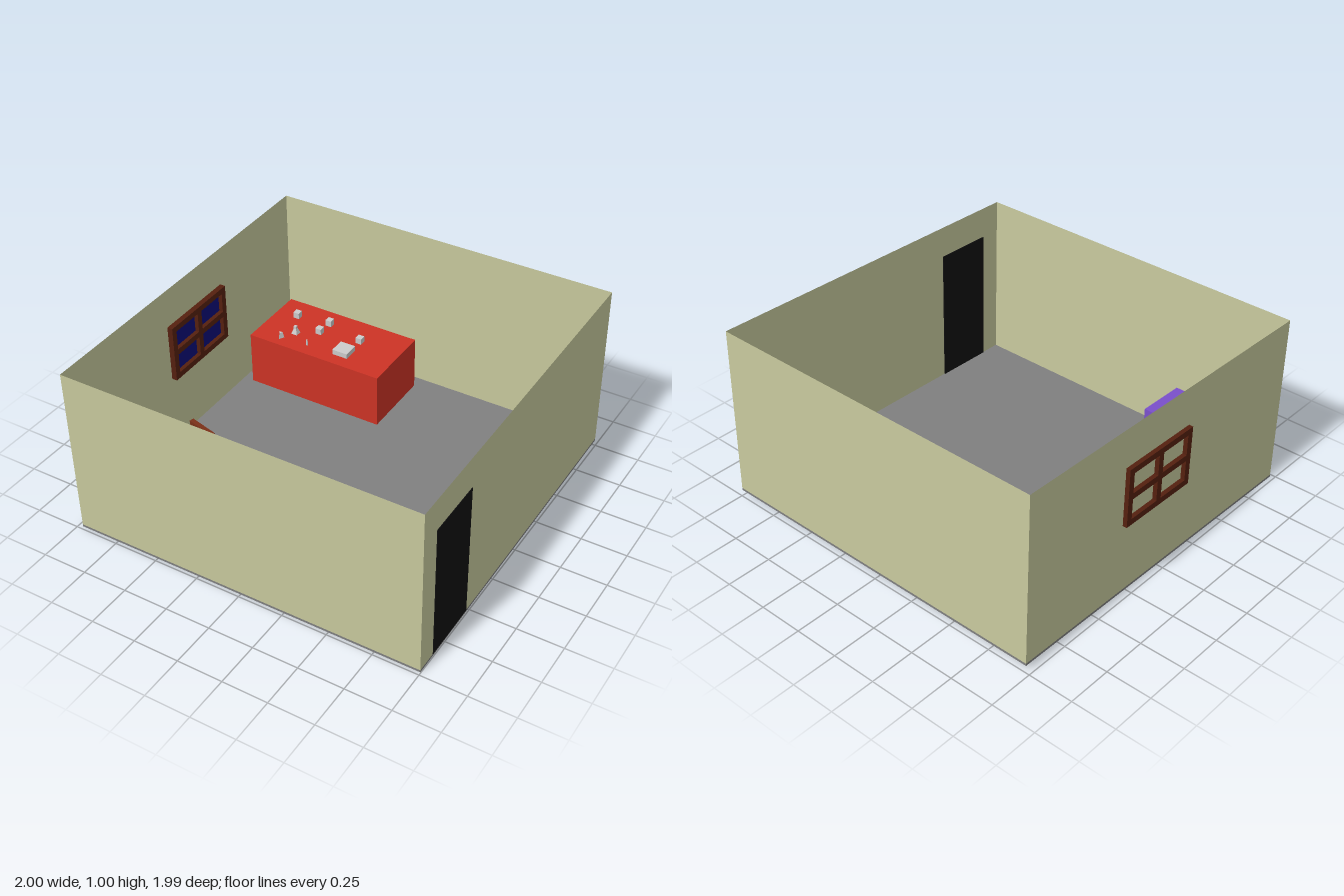
import * as THREE from 'three';

const mat = (color) => new THREE.MeshStandardMaterial({ color, flatShading: true, side: THREE.DoubleSide });
const WALL = mat(0xc7c99d), FLOOR = mat(0x808080), BLACK = mat(0x111111), FRAME = mat(0x55200f);
const GLASS = mat(0x0a0a78), RED = mat(0xcc3325), VIOLET = mat(0x7a4fcb), PURPLE = mat(0x9b4fc9);
const WOOD = mat(0x7a3018), GREY = mat(0xcccccc);

function add(parent, name, geometry, material, x, y, z) {
  const mesh = new THREE.Mesh(geometry, material);
  mesh.name = name;
  mesh.position.set(x, y, z);
  parent.add(mesh);
  return mesh;
}

// Box given by its x, y and z ranges
function box(parent, name, material, [x0, x1], [y0, y1], [z0, z1]) {
  return add(parent, name, new THREE.BoxGeometry(x1 - x0, y1 - y0, z1 - z0), material,
    (x0 + x1) / 2, (y0 + y1) / 2, (z0 + z1) / 2);
}

const X0 = -0.976, X1 = 0.997, D = 0.9885, H = 0.963, FLOOR_Y = 0.013;

function makeShell(room) {
  box(room, 'floor', FLOOR, [X0, X1], [0, FLOOR_Y], [-D, D]);
  const h = H - FLOOR_Y, y = FLOOR_Y + h / 2, cx = (X0 + X1) / 2;
  for (const s of [1, -1]) {
    add(room, s > 0 ? 'frontWall' : 'backWall', new THREE.PlaneGeometry(X1 - X0, h), WALL, cx, y, s * D);
    const side = add(room, s > 0 ? 'leftWall' : 'rightWall', new THREE.PlaneGeometry(2 * D, h), WALL, s > 0 ? X1 : X0, y, 0);
    side.rotation.y = Math.PI / 2;
  }
  box(room, 'door', BLACK, [X1 - 0.006, X1 + 0.003], [0.015, 0.785], [0.54, 0.87]);
}

function makeWindow(room) {
  const win = new THREE.Group();
  win.name = 'window';
  win.position.set(-0.9725, 0.58, -0.077);
  room.add(win);
  const w = 0.24, h = 0.165, b = 0.034, dx = [-0.0275, 0.0275];
  // Outer bars and the central cross
  for (const k of [-1, 0, 1]) {
    const z = k * (w - b / 2), y = k * (h - b / 2);
    box(win, 'windowUpright', FRAME, dx, [-h, h], [z - b / 2, z + b / 2]);
    box(win, 'windowRail', FRAME, dx, [y - b / 2, y + b / 2], [-w, w]);
  }
  // Panes on the inner side of the wall
  for (const sy of [-1, 1]) for (const sz of [-1, 1]) {
    const pane = add(win, 'windowPane', new THREE.PlaneGeometry(w, h), GLASS, 0.004, sy * h / 2, sz * w / 2);
    pane.rotation.y = Math.PI / 2;
  }
}

function makeChair(room) {
  const chair = new THREE.Group();
  chair.name = 'chair';
  chair.position.set(-0.62, FLOOR_Y, 0.497);
  chair.rotation.y = -0.26;
  room.add(chair);
  add(chair, 'seat', new THREE.CylinderGeometry(0.103, 0.103, 0.03, 8), WOOD, 0, 0.2, 0);
  for (const sx of [-1, 1]) for (const sz of [-1, 1])
    add(chair, 'chairLeg', new THREE.BoxGeometry(0.025, 0.19, 0.025), WOOD, sx * 0.08, 0.095, sz * 0.08);
  add(chair, 'backrest', new THREE.BoxGeometry(0.17, 0.2, 0.025), WOOD, 0, 0.3, -0.08);
}

function makeTableItems(room, top) {
  const items = new THREE.Group();
  items.name = 'tableItems';
  items.position.y = top;
  room.add(items);
  for (const [x, z] of [[-0.785, -0.778], [-0.585, -0.802], [-0.592, -0.705], [-0.348, -0.738]])
    add(items, 'smallBlock', new THREE.BoxGeometry(0.036, 0.036, 0.036), GREY, x, 0.018, z);
  add(items, 'flatBlock', new THREE.BoxGeometry(0.092, 0.03, 0.092), GREY, -0.376, 0.015, -0.61);
  // Tapered piece with a knob, a wedge and a thin peg
  add(items, 'taperedPiece', new THREE.CylinderGeometry(0.01, 0.027, 0.035, 4), GREY, -0.708, 0.0175, -0.635).rotation.y = Math.PI / 4;
  add(items, 'taperedPieceKnob', new THREE.BoxGeometry(0.016, 0.016, 0.016), GREY, -0.708, 0.04, -0.635);
  add(items, 'wedge', new THREE.CylinderGeometry(0.012, 0.02, 0.035, 3), GREY, -0.757, 0.0175, -0.555);
  add(items, 'peg', new THREE.CylinderGeometry(0.004, 0.006, 0.035, 6), GREY, -0.59, 0.0175, -0.567);
}

export function createModel() {
  const model = new THREE.Group();
  model.name = 'room';
  // The whole room leans slightly forward
  const room = new THREE.Group();
  room.name = 'tiltedRoom';
  room.rotation.x = 0.0188;
  room.position.set(0, 0.0186, -0.0065);
  model.add(room);

  makeShell(room);
  makeWindow(room);
  box(room, 'redTable', RED, [-0.918, -0.093], [FLOOR_Y, 0.33], [-0.915, -0.49]);
  makeTableItems(room, 0.33);
  box(room, 'desk', VIOLET, [-0.923, -0.375], [FLOOR_Y, 0.33], [0.645, 0.93]);
  makeChair(room);
  // Cabinet sunk through the floor, with an inset top
  box(room, 'cabinet', PURPLE, [0.648, 0.924], [-0.002, 0.27], [-0.6, -0.323]);
  box(room, 'cabinetTop', PURPLE, [0.661, 0.911], [0.27, 0.3], [-0.587, -0.336]);
  return model;
}
